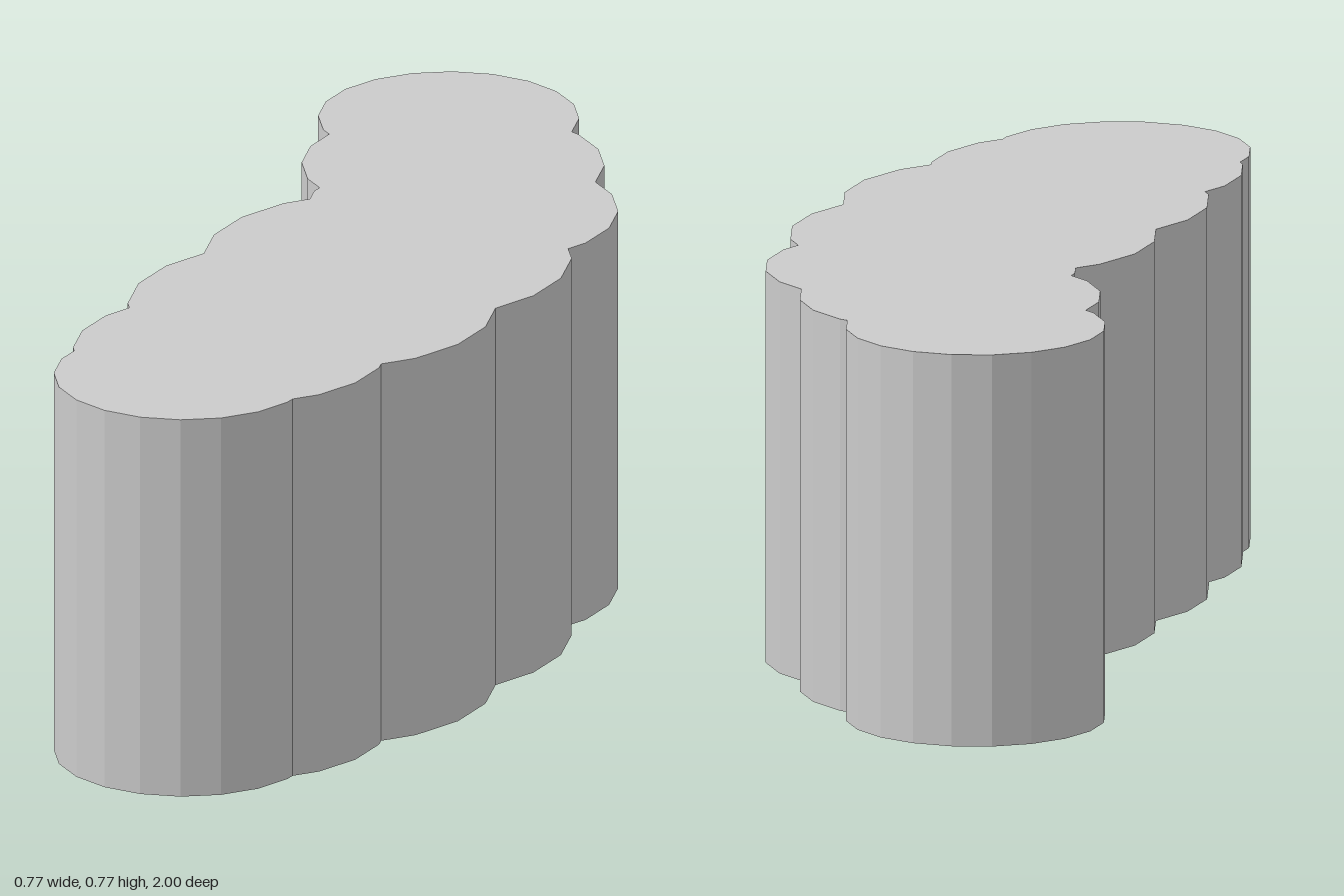
import * as THREE from 'three';

const HEIGHT = 0.77;
const STEP = Math.PI / 10; // each lobe is a 20-sided drum

// Overlapping drums from back to front: centre x, centre z, radius
const LOBES = [
  [-0.12, -0.75, 0.25],
  [-0.025, -0.51, 0.29],
  [0.075, -0.28, 0.3],
  [0.028, 0.01, 0.353],
  [-0.018, 0.31, 0.353],
  [-0.083, 0.59, 0.302],
  [-0.12, 0.75, 0.25],
];

// x of a drum's faceted edge at depth z, on side +1 or -1
function edgeX([cx, cz, r], side, z) {
  const s = Math.min(1, Math.abs(z - cz) / r);
  const k = Math.min(4, Math.floor(Math.asin(s) / STEP));
  const a = k * STEP, b = a + STEP;
  const t = (s - Math.sin(a)) / (Math.sin(b) - Math.sin(a));
  return cx + side * r * THREE.MathUtils.lerp(Math.cos(a), Math.cos(b), t);
}

// Depth of the notch where one drum gives way to the next
function notchZ(p, q, side) {
  let lo = q[1] - q[2], hi = p[1] + p[2];
  for (let i = 0; i < 40; i++) {
    const mid = (lo + hi) / 2;
    if (side * (edgeX(p, side, mid) - edgeX(q, side, mid)) > 0) lo = mid;
    else hi = mid;
  }
  return lo;
}

// Scalloped outline of one side, from back to front
function sideOutline(side) {
  const points = [];
  let start = -Infinity;
  LOBES.forEach((lobe, i) => {
    const [cx, cz, r] = lobe;
    const next = LOBES[i + 1];
    const end = next ? notchZ(lobe, next, side) : Infinity;
    for (let k = -5; k <= 5; k++) {
      const z = cz + r * Math.sin(k * STEP);
      if (z > start + 1e-4 && z < end - 1e-4)
        points.push(new THREE.Vector2(cx + side * r * Math.cos(k * STEP), -z));
    }
    if (next) points.push(new THREE.Vector2(edgeX(lobe, side, end), -end));
    start = end;
  });
  return points;
}

export function createModel() {
  const group = new THREE.Group();
  group.name = 'scallopedBlock';

  // The two sides share their end points, so the left one drops them
  const right = sideOutline(1);
  const left = sideOutline(-1).slice(1, -1).reverse();
  const geometry = new THREE.ExtrudeGeometry(new THREE.Shape([...right, ...left]), {
    depth: HEIGHT,
    bevelEnabled: false,
  });
  geometry.rotateX(-Math.PI / 2);

  const material = new THREE.MeshStandardMaterial({ color: 0xcccccc, flatShading: true });
  const body = new THREE.Mesh(geometry, material);
  body.name = 'lobedBody';
  group.add(body);
  return group;
}
